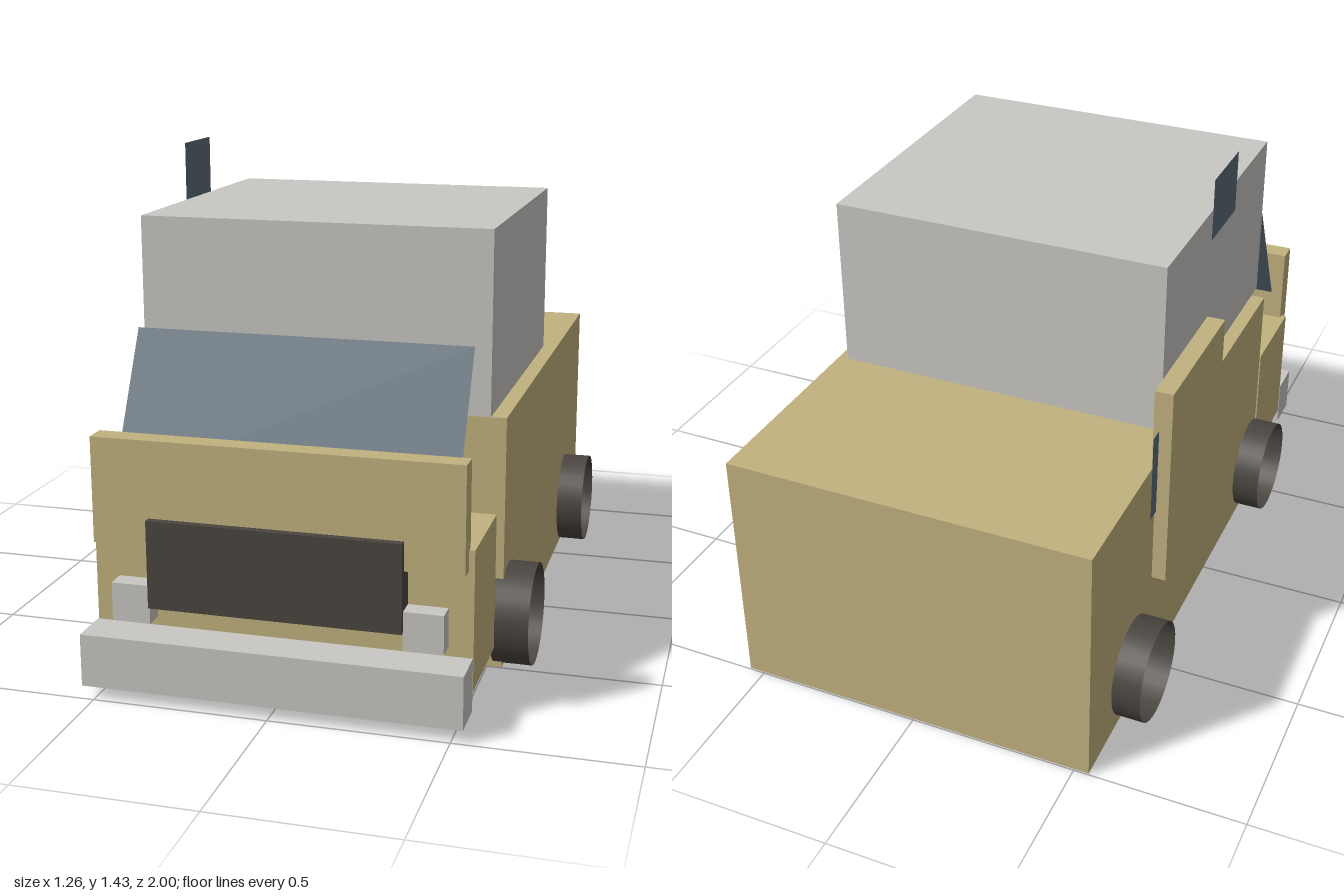
import * as THREE from 'three';

export function createModel() {
  const model = new THREE.Group();
  model.name = 'blockyTruck';

  const paint = (name, color, side = THREE.FrontSide) => {
    const m = new THREE.MeshStandardMaterial({ color, side });
    m.name = name;
    return m;
  };
  const sand = paint('sandPaint', 0xc2b280);
  const grey = paint('lightGrey', 0xc9c7c3);
  const dark = paint('darkRubber', 0x4a4540, THREE.DoubleSide);
  const glass = paint('blueGlass', 0x5c6b77, THREE.DoubleSide);

  const add = (name, geometry, material) => {
    const mesh = new THREE.Mesh(geometry, material);
    mesh.name = name;
    model.add(mesh);
    return mesh;
  };

  // Box given by its extents along each axis
  const box = (name, [x0, x1], [y0, y1], [z0, z1], material) =>
    add(name, new THREE.BoxGeometry(x1 - x0, y1 - y0, z1 - z0), material)
      .position.set((x0 + x1) / 2, (y0 + y1) / 2, (z0 + z1) / 2);

  // Main shell, cab and nose
  box('body', [-0.545, 0.545], [0.005, 0.745], [-1, 0.507], sand);
  box('cab', [-0.507, 0.507], [0.755, 1.275], [-0.385, 0.545], grey);
  box('hood', [-0.533, 0.533], [0.09, 0.485], [0.57, 0.873], sand);
  box('nosePanel', [-0.517, 0.517], [0.428, 0.728], [0.855, 0.92], sand);
  box('grille', [-0.355, 0.355], [0.26, 0.51], [0.872, 0.942], dark);
  box('bumper', [-0.533, 0.533], [0.038, 0.188], [0.88, 1], grey);
  box('sideDoor', [-0.587, -0.533], [0.345, 0.975], [-0.527, -0.08], sand);

  for (const s of [-1, 1]) {
    box('headlight', [s * 0.41 - 0.055, s * 0.41 + 0.055], [0.21, 0.32], [0.873, 0.93], grey);

    // Open ring wheels
    for (const z of [0.43, -0.688]) {
      const wheel = add('wheel', new THREE.CylinderGeometry(0.148, 0.148, 0.11, 32, 1, true), dark);
      wheel.rotation.z = Math.PI / 2;
      wheel.position.set(s * 0.575, 0.148, z);
    }
  }

  // Windshield leaning back, from the nose panel up to its top edge
  const top = new THREE.Vector2(0.65, 0.975), base = new THREE.Vector2(0.857, 0.575);
  const windshield = add('windshield', new THREE.PlaneGeometry(0.96, top.distanceTo(base)), glass);
  windshield.position.set(0, (top.y + base.y) / 2, (top.x + base.x) / 2);
  windshield.rotation.x = -Math.atan2(base.x - top.x, top.y - base.y);

  // Thin side panes: [rear z, front z, bottom y, top y]
  for (const [z0, z1, y0, y1] of [[-0.135, 0.08, 1.25, 1.435], [-0.572, -0.355, 0.58, 0.85]]) {
    const pane = add('sidePane', new THREE.PlaneGeometry(z1 - z0, y1 - y0), glass);
    pane.rotation.y = -Math.PI / 2;
    pane.position.set(-0.55, (y0 + y1) / 2, (z0 + z1) / 2);
  }

  return model;
}
